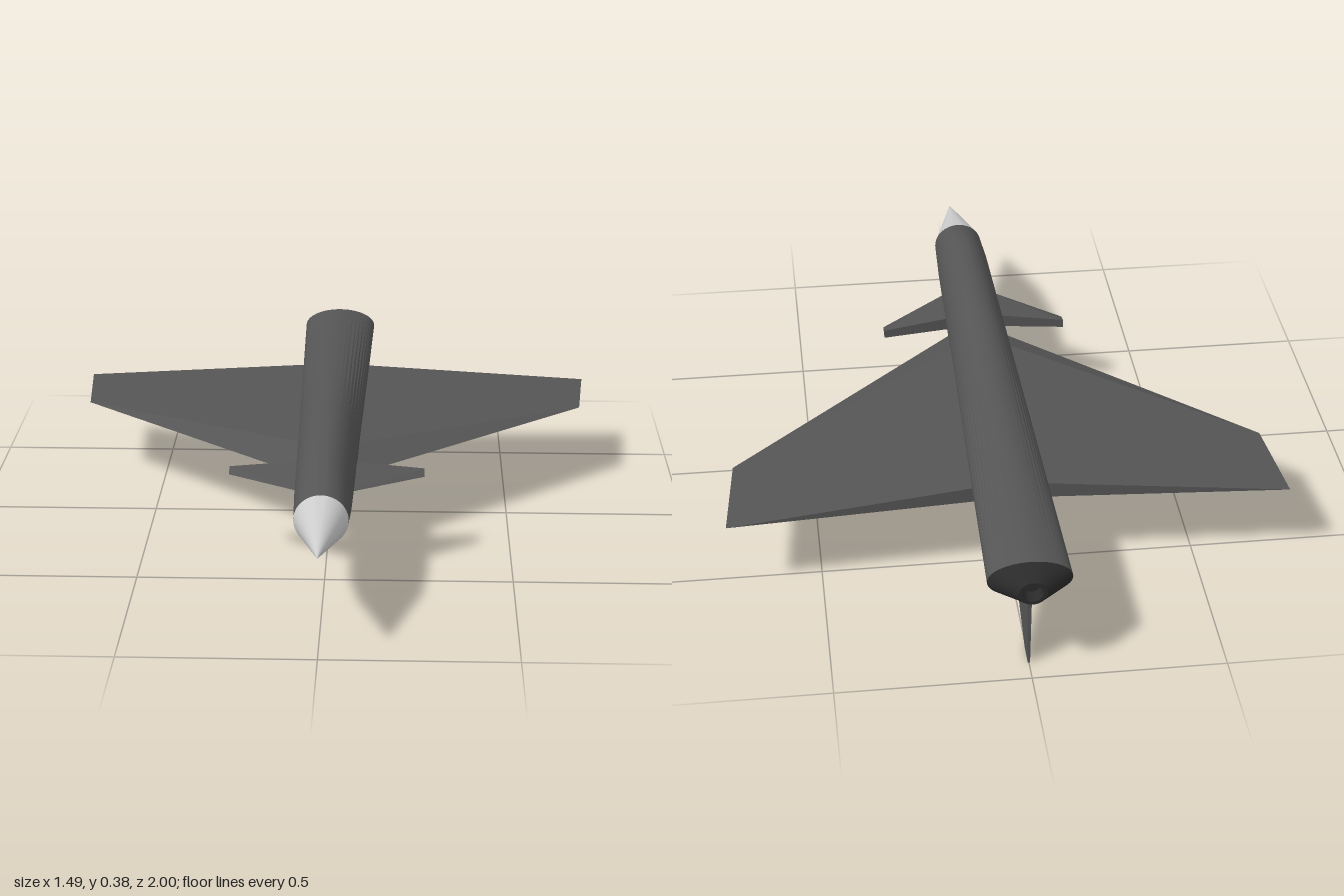
import * as THREE from 'three';
import { ConvexGeometry } from 'three/addons/geometries/ConvexGeometry.js';
import { toCreasedNormals } from 'three/addons/utils/BufferGeometryUtils.js';

const SIDES = 48;

// Skins elliptical stations [z, halfWidth, halfHeight, centreY]; falling z faces outward
function loft(stations) {
  const pos = [], index = [];
  stations.forEach(([z, rx, ry, cy], i) => {
    for (let j = 0; j < SIDES; j++) {
      const t = (j / SIDES) * Math.PI * 2;
      pos.push(rx * Math.cos(t), cy + ry * Math.sin(t), z);
      if (i === 0) continue;
      const k = (j + 1) % SIDES;
      const a = (i - 1) * SIDES + j, b = (i - 1) * SIDES + k;
      const d = i * SIDES + j, c = i * SIDES + k;
      index.push(a, d, c, a, c, b);
    }
  });
  const geo = new THREE.BufferGeometry();
  geo.setAttribute('position', new THREE.Float32BufferAttribute(pos, 3));
  geo.setIndex(index);
  return toCreasedNormals(geo, 0.3);
}

export function createModel() {
  const group = new THREE.Group();
  const paint = new THREE.MeshStandardMaterial({ color: 0x555555 });
  const dark = new THREE.MeshStandardMaterial({ color: 0x2a2a2a });
  const pale = new THREE.MeshStandardMaterial({ color: 0xcccccc });

  const add = (name, geo, mat) => {
    const mesh = new THREE.Mesh(geo, mat);
    mesh.name = name;
    group.add(mesh);
  };
  const hull = (points, side = 1) =>
    new ConvexGeometry(points.map(([x, y, z]) => new THREE.Vector3(x * side, y, z)));

  // Body, flattening from tall at the front to wide at the tail
  add('noseCone', loft([[1, 0, 0, 0.268], [0.75, 0.07, 0.068, 0.268]]), pale);
  add('fuselage', loft([
    [0.75, 0.07, 0.068, 0.268],
    [0.6, 0.075, 0.11, 0.265],
    [0.17, 0.084, 0.11, 0.265],
    [-0.94, 0.108, 0.053, 0.268],
  ]), paint);

  // Tapered exhaust with a shallow recess
  add('exhaust', loft([
    [-0.94, 0.108, 0.053, 0.268],
    [-1, 0.036, 0.033, 0.268],
    [-1, 0.026, 0.024, 0.268],
    [-0.965, 0.022, 0.02, 0.268],
    [-0.965, 0, 0, 0.268],
  ]), dark);

  for (const [label, side] of [['left', 1], ['right', -1]]) {
    // Delta wing: flat underside, ridge behind the leading edge, blunt rear
    add(label + 'Wing', hull([
      [0.05, 0.222, 0.32], [0.05, 0.268, 0.18],
      [0.05, 0.268, -0.532], [0.05, 0.222, -0.532],
      [0.72, 0.217, -0.3], [0.745, 0.216, -0.57],
    ], side), paint);

    // Wedge-shaped foreplane
    add(label + 'Foreplane', hull([
      [0.05, 0.248, 0.505], [0.05, 0.27, 0.32], [0.05, 0.232, 0.32],
      [0.263, 0.236, 0.342], [0.263, 0.246, 0.306], [0.263, 0.222, 0.306],
    ], side), paint);
  }

  // Fin below the tail, thinner at its tip
  const fin = [];
  for (const s of [-1, 1]) {
    fin.push([s * 0.006, 0.235, -0.45], [s * 0.006, 0.235, -0.938]);
    fin.push([s * 0.003, 0, -0.88], [s * 0.003, 0, -0.938]);
  }
  add('ventralFin', hull(fin), paint);

  return group;
}
